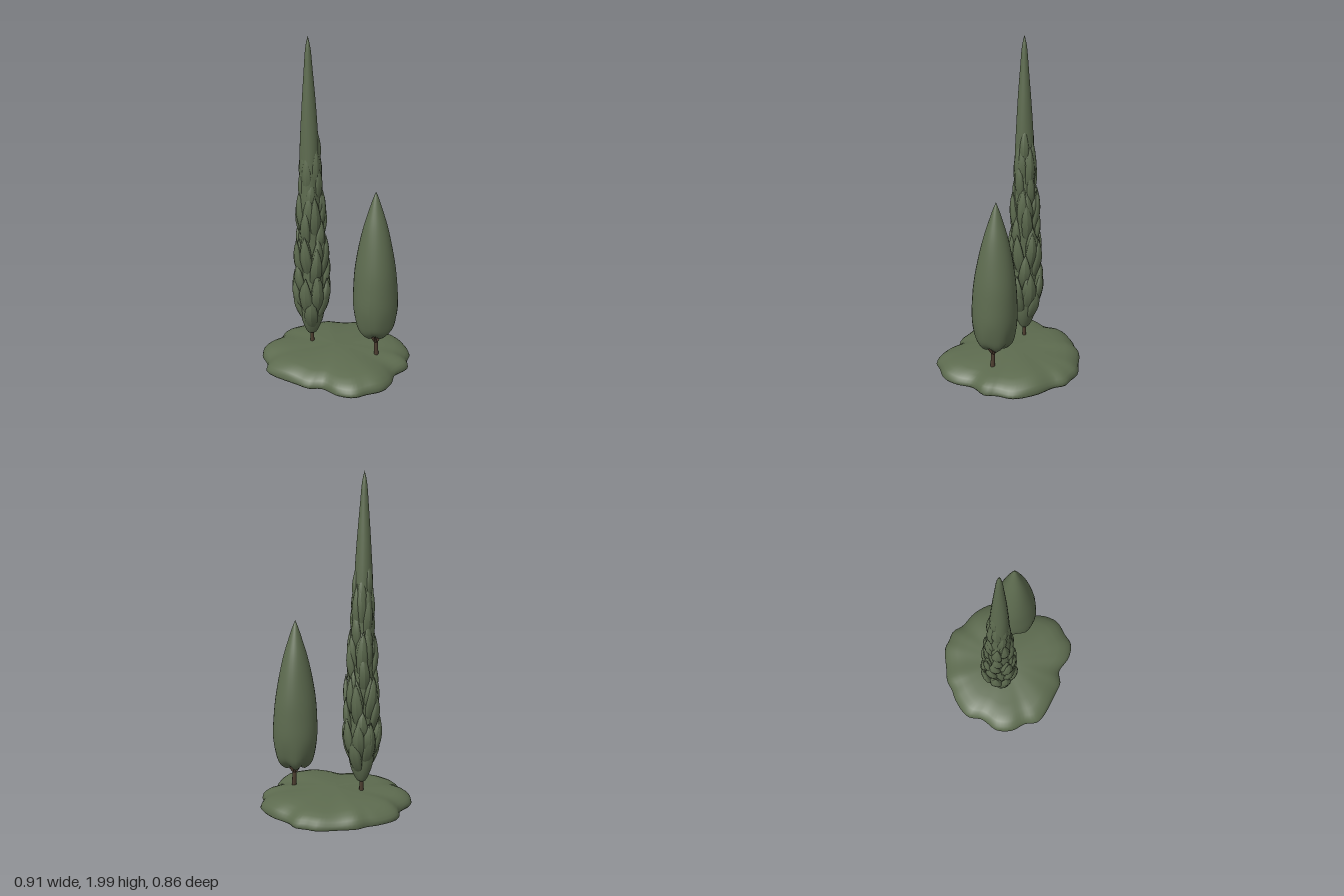
import * as THREE from 'three';
import { mergeGeometries } from 'three/addons/utils/BufferGeometryUtils.js';

const foliage = new THREE.MeshStandardMaterial({ color: 0x5d6b4f });
foliage.name = 'foliage green';
const bark = new THREE.MeshStandardMaterial({ color: 0x4d3e30 });
bark.name = 'bark brown';

const V = (x, y, z) => new THREE.Vector3(x, y, z);
const { lerp } = THREE.MathUtils;

function addMesh(parent, name, geometry, material) {
  const mesh = new THREE.Mesh(geometry, material);
  mesh.name = name;
  parent.add(mesh);
  return mesh;
}

// Smooth lathe from [radius, y] pairs listed bottom to top
function turned(profile, rows, sides) {
  const curve = new THREE.SplineCurve(profile.map(([r, y]) => new THREE.Vector2(r, y)));
  const points = curve.getPoints(rows).map(p => p.set(Math.max(p.x, 0), p.y));
  return new THREE.LatheGeometry(points, sides);
}

// Move every vertex by a rule, then refresh the normals
function deform(geometry, rule) {
  const pos = geometry.attributes.position, v = V(0, 0, 0);
  for (let i = 0; i < pos.count; i++) {
    rule(v.fromBufferAttribute(pos, i));
    pos.setXYZ(i, v.x, v.y, v.z);
  }
  geometry.computeVertexNormals();
  return geometry;
}

// Tapered stick between two points
function stick(from, to, r0, r1) {
  const dir = to.clone().sub(from);
  const g = new THREE.CylinderGeometry(r1, r0, dir.length(), 8);
  g.applyQuaternion(new THREE.Quaternion().setFromUnitVectors(V(0, 1, 0), dir.clone().normalize()));
  const mid = from.clone().add(to).multiplyScalar(0.5);
  return g.translate(mid.x, mid.y, mid.z);
}

// Trunk with a crown of short limbs spreading into the foliage
function trunk(foot, fork, r, limbs, spread, rise) {
  const parts = [stick(foot, fork, r * 1.25, r)];
  for (let i = 0; i < limbs; i++) {
    const a = (i / limbs) * Math.PI * 2 + 0.4;
    const start = fork.clone().add(V(0, -0.02, 0));
    const end = fork.clone().add(V(Math.cos(a) * spread, rise, Math.sin(a) * spread));
    parts.push(stick(start, end, r * 0.7, r * 0.4));
  }
  return mergeGeometries(parts);
}

// Lobed mound, hollow underneath: one outline scaled through a list of rings
function moundGeometry() {
  const outline = [
    [0.05, -0.43], [0.11, -0.415], [0.18, -0.4], [0.23, -0.345], [0.34, -0.275], [0.43, -0.16], [0.435, -0.06],
    [0.455, 0.01], [0.4, 0.11], [0.4, 0.22], [0.37, 0.305], [0.29, 0.37], [0.23, 0.42],
    [0.13, 0.42], [0.02, 0.37], [-0.06, 0.39], [-0.12, 0.375], [-0.35, 0.285], [-0.38, 0.2],
    [-0.44, 0.12], [-0.455, 0.02], [-0.4, -0.09], [-0.395, -0.19], [-0.3, -0.29],
    [-0.23, -0.33], [-0.18, -0.37], [-0.09, -0.395]
  ].map(([x, z]) => V(x, 0, z));
  const n = 110;
  const edge = new THREE.CatmullRomCurve3(outline, true).getSpacedPoints(n).slice(0, n);
  const rings = [
    [0, 0.065], [0.2, 0.06], [0.38, 0.065], [0.5, 0.04], [0.62, 0.06], [0.74, 0.03], [0.84, 0.035],
    [0.92, 0.01], [0.98, 0.008], [1, 0.02], [0.987, 0.04], [0.955, 0.057], [0.89, 0.078],
    [0.79, 0.095], [0.64, 0.106], [0.45, 0.113], [0.22, 0.115], [0, 0.115]
  ];
  const verts = [], index = [];
  rings.forEach(([s, y], j) => {
    edge.forEach((p, i) => {
      const x = p.x * s, z = p.z * s;
      const wave = Math.sin(13 * x + 1) * Math.cos(11 * z - 0.5);
      const lumps = Math.sin(Math.atan2(p.z, p.x) * 9 + 1) * s * s * s;
      const lift = j < 7 ? 0.012 * wave : j < 10 ? 0.002 * wave : 0.006 * wave + 0.004 * lumps;
      verts.push(x, y + lift, z);
      if (j === rings.length - 1) return;
      const a = j * n + i, b = j * n + (i + 1) % n;
      index.push(a, a + n, b, b, a + n, b + n);
    });
  });
  const g = new THREE.BufferGeometry();
  g.setAttribute('position', new THREE.Float32BufferAttribute(verts, 3));
  g.setIndex(index);
  g.computeVertexNormals();
  return g;
}

// Overlapping upright sprays wound around the tall core
function spraysGeometry() {
  const parts = [];
  const count = 76;
  for (let i = 0; i < count; i++) {
    const t = i / (count - 1);
    const jitter = Math.sin(i * 12.9) * 0.5 + 0.5;
    const y = 0.18 + 1.06 * Math.pow(t, 1.08) + jitter * 0.04;
    const length = 0.21 + 0.09 * jitter;
    const width = lerp(0.042, 0.027, t);
    const foot = lerp(0.055, 0.036, t) - Math.max(0, 0.15 - t) * 0.2;
    const lean = lerp(0.055, -0.002, Math.min(1, t * 1.1)) + jitter * 0.02 * (1 - t);
    const g = turned([[0, 0], [width * 0.7, length * 0.15], [width, length * 0.45],
      [width * 0.65, length * 0.75], [0, length]], 10, 9);
    deform(g, v => {
      const h = v.y / length;
      v.z = v.z * 0.6 + foot + lean * h + 0.02 * Math.sin(Math.PI * h) * (1 - 0.5 * t);
      v.x += 0.014 * Math.sin(i * 3.1) * h;
    });
    g.rotateY(i * 2.39996 + jitter * 0.5);
    parts.push(g.translate(0, y, 0));
  }
  return mergeGeometries(parts);
}

export function createModel() {
  const model = new THREE.Group();
  model.name = 'cypressPair';

  addMesh(model, 'groundMound', moundGeometry(), foliage);

  // Tall shaggy tree
  const tall = new THREE.Group();
  tall.name = 'tallTree';
  tall.position.set(-0.158, 0, -0.012);
  model.add(tall);
  const core = turned([[0, 0.17], [0.03, 0.18], [0.068, 0.28], [0.078, 0.42], [0.074, 0.7],
    [0.066, 1.0], [0.059, 1.22], [0.052, 1.42], [0.04, 1.62], [0.026, 1.8], [0.015, 1.93], [0, 2]], 50, 24);
  deform(core, v => {
    const a = Math.atan2(v.z, v.x);
    const k = 1 + 0.07 * Math.sin(a * 3 + v.y * 9) * Math.max(0, 1 - v.y / 2);
    v.x = v.x * k - 0.003 * v.y;
    v.z = v.z * k + 0.005 * v.y;
  });
  addMesh(tall, 'tallFoliageCore', core, foliage);
  addMesh(tall, 'tallFoliageSprays', spraysGeometry(), foliage);
  addMesh(tall, 'tallTrunk', trunk(V(0.002, 0.06, 0), V(0, 0.19, 0), 0.011, 5, 0.045, 0.06), bark);

  // Short smooth tree, leaning slightly toward its tip
  const short = new THREE.Group();
  short.name = 'shortTree';
  short.position.set(0.252, 0, 0.025);
  model.add(short);
  const crown = turned([[0, 0.245], [0.03, 0.232], [0.065, 0.235], [0.105, 0.275], [0.124, 0.34], [0.134, 0.43],
    [0.131, 0.54], [0.121, 0.66], [0.098, 0.8], [0.071, 0.92], [0.041, 1.02], [0.018, 1.09], [0, 1.135]], 52, 32);
  deform(crown, v => {
    const a = Math.atan2(v.z, v.x);
    const low = Math.max(0, 1 - (v.y - 0.22) / 0.2);
    const k = 1 + 0.015 * Math.sin(a * 3 + v.y * 7) + 0.05 * low * Math.sin(a * 6);
    v.y += 0.012 * low * Math.sin(a * 5 + 1) * Math.min(1, Math.hypot(v.x, v.z) / 0.06);
    v.x = v.x * k - 0.011 * Math.max(0, v.y - 0.2);
    v.z = v.z * k - 0.013 * Math.max(0, v.y - 0.2);
  });
  addMesh(short, 'shortFoliage', crown, foliage);
  addMesh(short, 'shortTrunk', trunk(V(0.013, 0.06, 0.008), V(0.006, 0.2, 0.006), 0.012, 6, 0.055, 0.055), bark);

  return model;
}
